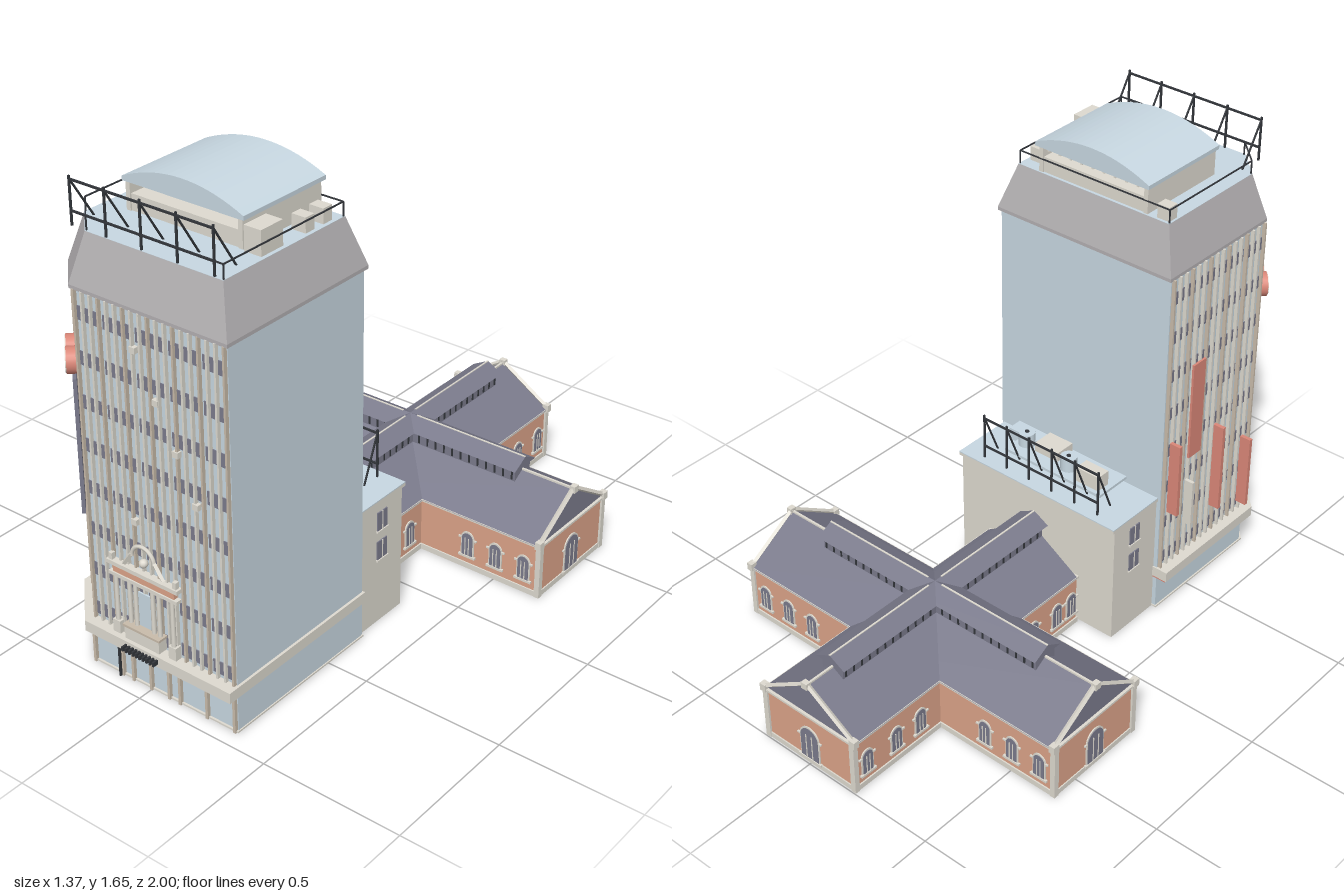
import * as THREE from 'three';

const mat = (name, color) => Object.assign(new THREE.MeshStandardMaterial({ color }), { name });

export function createModel() {
  const root = new THREE.Group();
  const blue = mat('pale blue panel', 0xc8d8e2), slate = mat('slate', 0x7b7b8c);
  const grey = mat('mansard grey', 0xb3b0b2), cream = mat('cream stone', 0xdedad0);
  const brick = mat('brick', 0xdca489), red = mat('sign red', 0xda8778);
  const dark = mat('dark metal', 0x33363b), tan = mat('tan trim', 0xc9bcab);

  const group = (name, parent = root) => {
    const g = new THREE.Group();
    g.name = name;
    parent.add(g);
    return g;
  };
  const add = (p, name, geo, m) => {
    const mesh = new THREE.Mesh(geo, m);
    mesh.name = name;
    p.add(mesh);
    return mesh;
  };
  // Box given by its limits on each axis
  const box = (p, name, m, x0, x1, y0, y1, z0, z1) => {
    const b = add(p, name, new THREE.BoxGeometry(x1 - x0, y1 - y0, z1 - z0), m);
    b.position.set((x0 + x1) / 2, (y0 + y1) / 2, (z0 + z1) / 2);
    return b;
  };
  // Square bar between two points, in the parent's own space
  const bar = (p, name, m, a, b, t) => {
    const A = new THREE.Vector3(...a), B = new THREE.Vector3(...b);
    const mesh = add(p, name, new THREE.BoxGeometry(t, t, A.distanceTo(B)), m);
    mesh.position.copy(A).lerp(B, 0.5);
    mesh.quaternion.setFromUnitVectors(new THREE.Vector3(0, 0, 1), B.sub(A).normalize());
    return mesh;
  };
  const polygon = pts => new THREE.Shape(pts.map(q => new THREE.Vector2(...q)));
  const extrude = (shape, depth) => new THREE.ExtrudeGeometry(shape, { depth, bevelEnabled: false, curveSegments: 8 });
  // Upright prism over a floor plan of [x, z] corners
  const prism = (p, name, m, plan, y0, y1) => {
    const g = extrude(polygon(plan.map(([x, z]) => [x, -z])), y1 - y0);
    return add(p, name, g.rotateX(-Math.PI / 2).translate(0, y0, 0), m);
  };
  const chamfered = (x0, x1, z0, z1, c) => [[x1, z1], [x1, z0], [x0, z0], [x0, z1 - c], [x0 + c, z1]];

  // ---- Tower ----
  const tower = group('tower');
  prism(tower, 'towerBody', blue, chamfered(-0.355, 0.348, 0.325, 0.935, 0.112), 0.004, 1.325);
  prism(tower, 'canopyLedge', cream, chamfered(-0.4, 0.357, 0.32, 0.98, 0.16), 0.138, 0.176);
  prism(tower, 'canopyRedTrim', red, chamfered(-0.394, 0.351, 0.322, 0.974, 0.158), 0.132, 0.138);
  prism(tower, 'plinth', cream, chamfered(-0.36, 0.352, 0.322, 0.942, 0.112), 0.002, 0.008);
  prism(tower, 'brickFooting', brick, chamfered(-0.32, 0.31, 0.4, 0.925, 0.11), 0, 0.004);
  const low = chamfered(-0.36, 0.356, 0.315, 0.945, 0.115), high = chamfered(-0.31, 0.305, 0.36, 0.895, 0.095);
  prism(tower, 'mansardEave', grey, low, 1.32, 1.332);
  const pos = [];
  low.forEach((A, i) => {
    const j = (i + 1) % low.length, B = low[j], C = high[j], D = high[i];
    const v = ([x, z], y) => [x, y, z];
    const [a, b, c, d] = [v(A, 1.332), v(B, 1.332), v(C, 1.49), v(D, 1.49)];
    pos.push(...a, ...b, ...c, ...a, ...c, ...d);
  });
  const mansard = new THREE.BufferGeometry();
  mansard.setAttribute('position', new THREE.Float32BufferAttribute(pos, 3));
  mansard.computeVertexNormals();
  add(tower, 'mansardRoof', mansard, grey);
  prism(tower, 'roofDeck', blue, high, 1.47, 1.491);

  // Facade of fins and window rows, drawn along local x and facing local +z
  const facade = (name, width, bays) => {
    const f = group(name, tower), w = width / bays;
    for (let i = 0; i <= bays; i++) {
      const x = i * w;
      box(f, 'fin', i % 3 ? cream : tan, x - 0.0035, x + 0.0035, 0.175, 1.322, 0, 0.013);
      if (i === bays) break;
      const inset = i % 4 === 3 ? 0.01 : 0.004;
      for (let r = 0; r < 8; r++) {
        const y = 0.212 + r * 0.1476;
        box(f, 'window', slate, x + inset, x + w - inset, y - 0.023, y + 0.023, -0.002, 0.003);
      }
    }
    return f;
  };
  facade('frontFacade', 0.57, 18).position.set(-0.228, 0, 0.935);
  const side = facade('sideFacade', 0.485, 15);
  side.rotation.y = -Math.PI / 2;
  side.position.set(-0.355, 0, 0.333);
  for (const [x, y] of [[0.08, 1.055], [0.15, 0.91], [0.22, 0.76], [-0.03, 0.61], [0, 1.2]])
    box(tower, 'airConditioner', cream, x - 0.011, x + 0.011, y - 0.01, y + 0.01, 0.935, 0.952);

  // Ground floor shopfront
  for (const x of [-0.24, -0.12, -0.075, 0, 0.075, 0.12, 0.23, 0.34])
    box(tower, 'shopfrontPost', tan, x - 0.005, x + 0.005, 0, 0.132, 0.935, 0.947);
  box(tower, 'entrancePier', dark, -0.128, -0.122, 0, 0.132, 0.947, 0.955);
  box(tower, 'doorRail', tan, -0.12, 0.12, 0.108, 0.114, 0.935, 0.945);
  for (let i = 0; i < 10; i++)
    box(tower, 'canopyGrille', dark, -0.067 + i * 0.0142, -0.06 + i * 0.0142, 0.15, 0.166, 0.98, 1);

  // Decorative old portal on the front
  const portal = group('ornamentalPortal', tower);
  box(portal, 'balcony', cream, -0.07, 0.07, 0.185, 0.235, 0.94, 0.975);
  box(portal, 'balconyRim', tan, -0.075, 0.075, 0.23, 0.238, 0.94, 0.979);
  box(portal, 'frieze', brick, -0.125, 0.125, 0.4, 0.428, 0.94, 0.957);
  box(portal, 'architrave', cream, -0.14, 0.14, 0.388, 0.4, 0.94, 0.962);
  box(portal, 'cornice', cream, -0.145, 0.145, 0.428, 0.442, 0.94, 0.965);
  box(portal, 'centreDoor', blue, -0.03, 0.03, 0.238, 0.36, 0.945, 0.951);
  for (const s of [-1, 1]) {
    for (const x of [0.035, 0.06, 0.115]) {
      const c = add(portal, 'column', new THREE.CylinderGeometry(0.007, 0.008, 0.165, 8), cream);
      c.position.set(s * x, 0.306, 0.955);
    }
    box(portal, 'columnBase', cream, s * 0.115 - 0.015, s * 0.115 + 0.015, 0.18, 0.225, 0.94, 0.965);
    box(portal, 'finial', cream, s * 0.13 - 0.007, s * 0.13 + 0.007, 0.442, 0.465, 0.945, 0.96);
    bar(portal, 'scroll', cream, [s * 0.08, 0.445, 0.952], [s * 0.045, 0.495, 0.952], 0.011);
  }
  const arch = add(portal, 'archCrown', new THREE.TorusGeometry(0.045, 0.007, 6, 16, Math.PI), cream);
  arch.position.set(0, 0.488, 0.952);
  add(portal, 'crest', new THREE.SphereGeometry(0.015, 10, 8), cream).position.set(0, 0.475, 0.95);

  // Corner panel and paired clock flat on the chamfer
  const corner = group('cornerFixtures', tower);
  corner.position.set(-0.302, 0, 0.882);
  corner.rotation.y = -Math.PI / 4;
  box(corner, 'displayPanel', slate, -0.05, 0.05, 0.53, 1, 0, 0.012);
  for (const s of [-1, 1])
    for (const [n, m, r, h] of [['clockRim', red, 0.042, 0.03], ['clockFace', cream, 0.038, 0.036]]) {
      const disc = add(corner, n, new THREE.CylinderGeometry(r, r, h, 24), m);
      disc.rotation.x = Math.PI / 2;
      disc.position.set(s * 0.04, 1.062, 0.012);
    }

  // Signs on the side facade
  for (const [z, y0, y1] of [[0.355, 0.41, 0.692], [0.6, 0.3, 0.64], [0.77, 0.22, 0.5]])
    box(tower, 'bladeSign', red, -0.408, -0.366, y0, y1, z - 0.007, z + 0.007);
  box(tower, 'flatSign', red, -0.374, -0.366, 0.58, 0.95, 0.45, 0.515);
  box(tower, 'paleBladeSign', cream, -0.4, -0.366, 0.31, 0.49, 0.444, 0.456);

  // ---- Rooftop plant ----
  const roof = group('rooftop');
  box(roof, 'plantBase', cream, -0.21, 0.21, 1.49, 1.545, 0.37, 0.71);
  for (const s of [-1, 1]) box(roof, 'plantSideWall', cream, s * 0.213 - 0.008, s * 0.213 + 0.008, 1.49, 1.592, 0.365, 0.715);
  for (let i = 0; i < 9; i++) box(roof, 'rearBracket', cream, -0.184 + i * 0.045, -0.176 + i * 0.045, 1.574, 1.59, 0.362, 0.38);
  const vault = [[-0.23, 1.583], [0.23, 1.583]];
  for (let i = 0; i <= 18; i++) {
    const x = 0.23 - i * 0.46 / 18;
    vault.push([x, 1.597 + 0.053 * (1 - (x / 0.23) ** 2)]);
  }
  add(roof, 'barrelVault', extrude(polygon(vault), 0.365).translate(0, 0, 0.355), blue);
  box(roof, 'plantCabin', cream, 0.23, 0.292, 1.49, 1.572, 0.625, 0.72);
  for (const z of [0.425, 0.505]) box(roof, 'ventBox', cream, 0.24, 0.292, 1.49, 1.54, z - 0.02, z + 0.02);
  box(roof, 'ventBox', cream, -0.302, -0.255, 1.49, 1.54, 0.37, 0.41);
  const rim = high.map(([x, z]) => [x * 0.99, 1.537, 0.63 + (z - 0.63) * 0.98]);
  rim.forEach((a, i) => {
    bar(roof, 'guardRail', dark, a, rim[(i + 1) % rim.length], 0.004);
    bar(roof, 'guardPost', dark, a, [a[0], 1.49, a[2]], 0.004);
  });

  // Open billboard frame: posts, rails and raking struts
  const billboard = (name, half, z, y0, y1, back, n) => {
    const g = group(name);
    for (let i = 0; i < n; i++) {
      const x = -half + 2 * half * i / (n - 1);
      bar(g, 'post', dark, [x, y0, z], [x, y1, z], 0.006);
      bar(g, 'strut', dark, [x, y1 - 0.01, z], [x, y0, back], 0.005);
    }
    for (const t of [0.3, 0.93]) {
      const y = y0 + (y1 - y0) * t;
      bar(g, 'rail', dark, [-half, y, z], [half, y, z], 0.006);
    }
  };
  billboard('towerBillboardFrame', 0.27, 0.89, 1.49, 1.645, 0.8, 5);
  billboard('annexBillboardFrame', 0.25, 0.12, 0.465, 0.645, 0.19, 6);

  // ---- Rear annex ----
  const annex = group('annex');
  box(annex, 'annexBlock', cream, -0.34, 0.335, 0, 0.455, 0.1, 0.33);
  box(annex, 'annexCornice', cream, -0.345, 0.34, 0.455, 0.466, 0.088, 0.33);
  box(annex, 'annexRoof', blue, -0.345, 0.34, 0.466, 0.47, 0.088, 0.33);
  for (const s of [-1, 1]) for (const y of [0.277, 0.387]) {
    const x = s < 0 ? -0.34 : 0.335;
    box(annex, 'annexWindow', slate, x - 0.004, x + 0.004, y - 0.034, y + 0.034, 0.182, 0.232);
    box(annex, 'annexWindowBar', cream, x - 0.006, x + 0.006, y - 0.034, y + 0.034, 0.205, 0.209);
    box(annex, 'annexSill', cream, x - 0.008, x + 0.008, y - 0.04, y - 0.034, 0.178, 0.236);
  }
  box(annex, 'equipmentDeck', blue, -0.21, 0.21, 0.485, 0.495, 0.18, 0.325);
  box(annex, 'chillerA', cream, -0.19, -0.095, 0.47, 0.55, 0.195, 0.25);
  box(annex, 'chillerB', cream, 0.02, 0.12, 0.47, 0.53, 0.235, 0.315);
  box(annex, 'chillerC', blue, 0.13, 0.26, 0.47, 0.515, 0.26, 0.315);
  for (const [x, z] of [[-0.03, 0.235], [0.17, 0.25]]) {
    const fan = add(annex, 'fanDrum', new THREE.CylinderGeometry(0.03, 0.03, 0.05, 16), blue);
    fan.position.set(x, 0.52, z);
    add(fan, 'fanHub', new THREE.CylinderGeometry(0.008, 0.008, 0.056, 10), dark);
  }

  // ---- Cross-shaped market hall ----
  const hall = group('marketHall');
  hall.position.z = -0.405;
  const archShape = (w, h) => {
    const s = new THREE.Shape();
    s.moveTo(-w / 2, 0);
    s.lineTo(w / 2, 0);
    s.lineTo(w / 2, h - w / 2);
    s.absarc(0, h - w / 2, w / 2, 0, Math.PI, false);
    return s;
  };
  // Arched opening: surround, pane, imposts and glazing bars, facing local +z
  const opening = (p, name, x, y, z, w, h, yaw) => {
    const g = group(name, p);
    g.position.set(x, y, z);
    g.rotation.y = yaw;
    add(g, 'surround', extrude(archShape(w + 0.01, h + 0.006), 0.004), cream);
    add(g, 'pane', extrude(archShape(w, h), 0.006), slate);
    for (const t of [-1, 1]) {
      box(g, 'glazingBar', cream, t * w / 6 - 0.0015, t * w / 6 + 0.0015, 0, h * 0.8, 0.005, 0.008);
      box(g, 'impost', cream, t * (w / 2 + 0.009) - 0.006, t * (w / 2 + 0.009) + 0.006, h - w / 2 - 0.003, h - w / 2 + 0.003, 0, 0.006);
    }
    box(g, 'sill', cream, -w / 2 - 0.012, w / 2 + 0.012, -0.006, 0.002, 0, 0.009);
  };
  const gable = (w, y0, y1) => polygon([[-w, y0], [w, y0], [0, y1]]);
  // One arm per compass direction, built along local +z
  const arm = (name, yaw, length, lantern, windows, open) => {
    const a = group(name, hall);
    a.rotation.y = yaw;
    box(a, 'brickWall', brick, -0.195, 0.195, 0.005, 0.2, 0, length - 0.01);
    box(a, 'plinth', cream, -0.2, 0.2, 0, 0.02, 0, length - 0.006);
    box(a, 'eaveCornice', cream, -0.202, 0.202, 0.194, 0.202, 0, length - 0.005);
    add(a, 'slateRoof', extrude(gable(0.203, 0.2, 0.328), length - 0.015), slate);
    box(a, 'ridgeCap', cream, -0.004, 0.004, 0.322, 0.332, 0, length - 0.01);
    box(a, 'lanternWall', slate, -0.045, 0.045, 0.27, 0.35, 0, lantern - 0.01);
    add(a, 'lanternRoof', extrude(gable(0.062, 0.346, 0.38), lantern), slate);
    box(a, 'lanternRidge', cream, -0.003, 0.003, 0.376, 0.381, 0.03, lantern);
    for (let z = 0.07; z < lantern - 0.01; z += 0.035) for (const s of [-1, 1])
      box(a, 'lanternMullion', dark, s * 0.046 - 0.002, s * 0.046 + 0.002, 0.305, 0.346, z, z + 0.006);
    for (const z of windows) for (const s of [-1, 1])
      opening(a, 'archedWindow', s * 0.195, 0.05, z, 0.042, 0.088, s * Math.PI / 2);
    if (open) return;
    // Gable end with coping, corner piers and arched door
    opening(a, 'archedDoor', 0, 0.02, length - 0.01, 0.075, 0.125, 0);
    box(a, 'apexBlock', cream, -0.012, 0.012, 0.318, 0.342, length - 0.02, length);
    for (const s of [-1, 1]) {
      bar(a, 'coping', cream, [s * 0.2, 0.207, length - 0.012], [0, 0.334, length - 0.012], 0.012);
      box(a, 'cornerPier', cream, s * 0.192 - 0.01, s * 0.192 + 0.01, 0, 0.2, length - 0.022, length - 0.003);
      box(a, 'kneeler', cream, s * 0.198 - 0.012, s * 0.198 + 0.012, 0.192, 0.22, length - 0.022, length);
    }
  };
  arm('frontArm', 0, 0.5, 0.495, [0.265, 0.385, 0.46], true);
  arm('rearArm', Math.PI, 0.595, 0.48, [0.29, 0.4, 0.53]);
  arm('leftArm', Math.PI / 2, 0.685, 0.48, [0.39, 0.503, 0.615]);
  arm('rightArm', -Math.PI / 2, 0.685, 0.48, [0.39, 0.503, 0.615]);
  return root;
}
